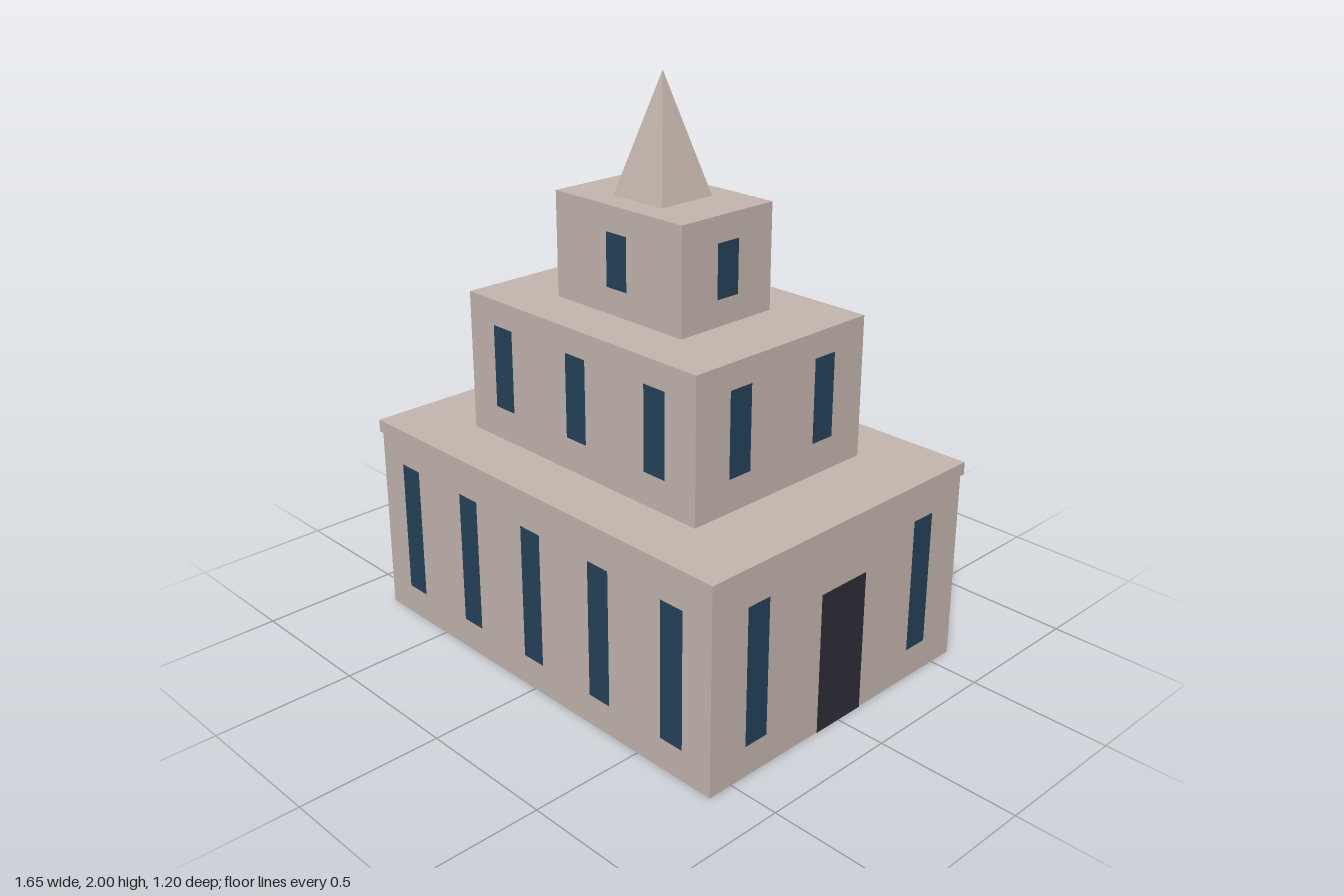
import * as THREE from 'three';

// Rectangular shell through sections [halfX, halfZ, y], open at the bottom.
// A last section with zero size closes the shell to a point.
function shell(name, sections, material) {
  const corners = [[-1, 1], [1, 1], [1, -1], [-1, -1]];
  const pos = [];
  for (let s = 0; s < sections.length - 1; s++) {
    const at = (k, i) => {
      const [hx, hz, y] = sections[k];
      const [cx, cz] = corners[i % 4];
      return [cx * hx, y, cz * hz];
    };
    for (let i = 0; i < 4; i++) {
      const a = at(s, i), b = at(s, i + 1), c = at(s + 1, i + 1), d = at(s + 1, i);
      pos.push(...a, ...b, ...c);
      if (sections[s + 1][0] > 0) pos.push(...a, ...c, ...d);
    }
  }
  const geo = new THREE.BufferGeometry();
  geo.setAttribute('position', new THREE.Float32BufferAttribute(pos, 3));
  geo.computeVertexNormals();
  const mesh = new THREE.Mesh(geo, material);
  mesh.name = name;
  return mesh;
}

export function createModel() {
  const stone = new THREE.MeshStandardMaterial({ name: 'stone', color: 0xc4b6ae, side: THREE.DoubleSide });
  const glass = new THREE.MeshStandardMaterial({ name: 'window glass', color: 0x23425a });
  const wood = new THREE.MeshStandardMaterial({ name: 'dark door', color: 0x2e2d37 });

  const model = new THREE.Group();
  model.name = 'steppedTower';

  // Stacked storeys: the lowest carries a slightly projecting cornice
  model.add(shell('groundStorey', [
    [0.818, 0.592, 0], [0.818, 0.592, 0.684],
    [0.826, 0.6, 0.684], [0.826, 0.6, 0.729], [0, 0, 0.729],
  ], stone));
  model.add(shell('middleStorey', [[0.542, 0.386, 0.729], [0.542, 0.386, 1.228], [0, 0, 1.228]], stone));
  model.add(shell('topStorey', [[0.294, 0.203, 1.228], [0.294, 0.203, 1.594], [0, 0, 1.594]], stone));
  model.add(shell('spire', [[0.113, 0.113, 1.594], [0, 0, 2]], stone));

  // Flat panel on a wall: turn 0 front, 1 right (+x), 2 back, 3 left (-x)
  const panel = (name, turn, along, dist, width, y0, y1, material) => {
    const geo = new THREE.PlaneGeometry(width, y1 - y0);
    geo.translate(along, (y0 + y1) / 2, dist + 0.003);
    geo.rotateY(turn * Math.PI / 2);
    const mesh = new THREE.Mesh(geo, material);
    mesh.name = name;
    model.add(mesh);
  };

  // Windows of each storey, on the long and the short walls
  const storeys = [
    { name: 'groundWindow', hx: 0.818, hz: 0.592, y0: 0.111, y1: 0.595,
      long: [-0.654, -0.327, 0, 0.327, 0.654], short: [-0.395, 0, 0.395] },
    { name: 'middleWindow', hx: 0.542, hz: 0.386, y0: 0.845, y1: 1.14,
      long: [-0.366, 0, 0.366], short: [-0.194, 0.194] },
    { name: 'topWindow', hx: 0.294, hz: 0.203, y0: 1.32, y1: 1.506, long: [0], short: [0] },
  ];
  for (const s of storeys) {
    for (let turn = 0; turn < 4; turn++) {
      const isShort = turn % 2 === 1;
      for (const along of isShort ? s.short : s.long) {
        // The door takes the middle place on the ground storey's +x wall
        if (s.name === 'groundWindow' && turn === 1 && along === 0) continue;
        panel(s.name, turn, along, isShort ? s.hx : s.hz, 0.094, s.y0, s.y1, glass);
      }
    }
  }
  panel('door', 1, 0, 0.818, 0.212, 0, 0.503, wood);

  return model;
}
